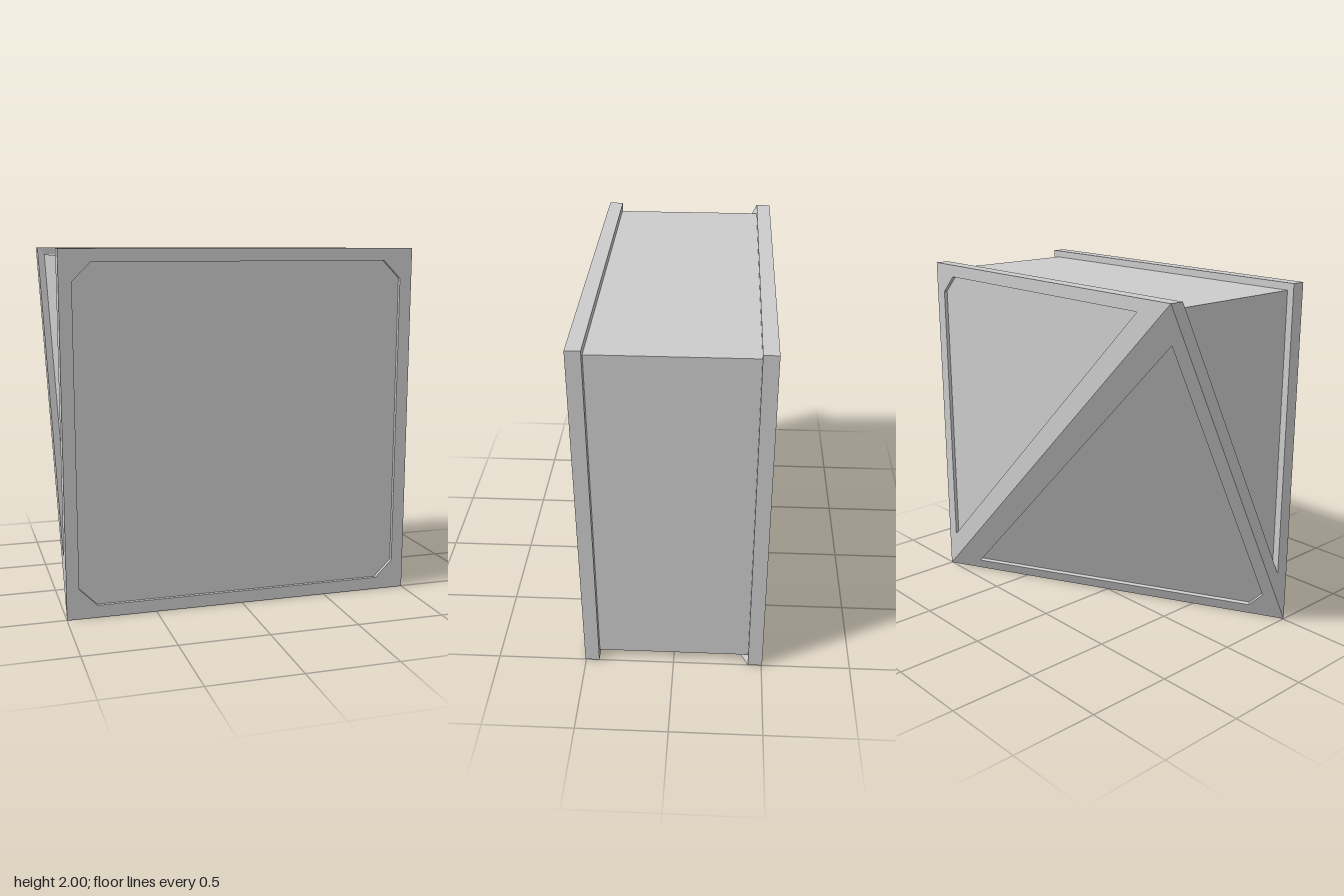
import * as THREE from 'three';
import { ConvexGeometry } from 'three/addons/geometries/ConvexGeometry.js';

const H = 0.505, W = 2 * H;      // half depth and depth
const T = 0.08, RECESS = 0.02;   // plate thickness and panel recess
const V = (x, y, z) => new THREE.Vector3(x, y, z);
// Position relative to the removed lower back corner: 1 on the cut plane, more inside
const cutValue = p => (p.x + 1) / 2 + p.y / 2 + (p.z + H) / W;

// Plate with a sunken panel. outer and back are matching loops; inner outlines the panel.
function plate(name, outer, back, inner, normal) {
  const pos = [];
  const tri = (a, b, c) => pos.push(...a.toArray(), ...b.toArray(), ...c.toArray());
  const quad = (a, b, c, d) => { tri(a, b, c); tri(a, c, d); };
  const rim = [...new Set(outer)];
  const u = rim[1].clone().sub(rim[0]).normalize();
  const v = normal.clone().cross(u);
  const flat = p => new THREE.Vector2(p.dot(u), p.dot(v));
  // All loops run counter-clockwise as seen from outside
  if (THREE.ShapeUtils.area(rim.map(flat)) < 0) { rim.reverse(); outer.reverse(); back.reverse(); }
  if (THREE.ShapeUtils.area(inner.map(flat)) < 0) inner.reverse();
  const floor = inner.map(p => p.clone().addScaledVector(normal, -RECESS));

  // Raised border
  const hole = [...inner].reverse(), all = [...rim, ...hole];
  for (const f of THREE.ShapeUtils.triangulateShape(rim.map(flat), [hole.map(flat)])) {
    const [a, b, c] = f.map(i => all[i]);
    const facing = b.clone().sub(a).cross(c.clone().sub(a)).dot(normal);
    if (facing > 0) tri(a, b, c); else tri(a, c, b);
  }
  // Panel walls and floor
  inner.forEach((p, i) => {
    const j = (i + 1) % inner.length;
    quad(p, inner[j], floor[j], floor[i]);
    if (i > 0 && j > 0) tri(floor[0], floor[i], floor[j]);
  });
  // Outer edges and rear cap
  outer.forEach((p, i) => {
    const j = (i + 1) % outer.length;
    if (p !== outer[j]) tri(p, back[j], outer[j]);
    tri(p, back[i], back[j]);
    if (i > 0 && j > 0) tri(back[0], back[j], back[i]);
  });
  const geo = new THREE.BufferGeometry();
  geo.setAttribute('position', new THREE.Float32BufferAttribute(pos, 3));
  geo.computeVertexNormals();
  return mesh(name, geo);
}

function mesh(name, geo) {
  const m = new THREE.Mesh(geo, new THREE.MeshStandardMaterial({ color: 0xcccccc, flatShading: true }));
  m.name = name;
  return m;
}

// Inset box, clipped parallel to the cut plane
function coreGeometry() {
  const limit = 1.04, pts = [], corners = [];
  for (const x of [-0.96, 0.96]) for (const y of [0.04, 1.96]) for (const z of [-0.45, 0.45]) corners.push(V(x, y, z));
  corners.forEach((a, i) => {
    if (cutValue(a) >= limit) pts.push(a);
    for (const bit of [1, 2, 4]) {
      if (i & bit) continue;
      const b = corners[i | bit], ca = cutValue(a), cb = cutValue(b);
      if ((ca < limit) !== (cb < limit)) pts.push(a.clone().lerp(b, (limit - ca) / (cb - ca)));
    }
  });
  return new ConvexGeometry(pts);
}

export function createModel() {
  const group = new THREE.Group();
  const A = V(1, 0, -H), B = V(-1, 2, -H), C = V(-1, 0, H);

  // Front plate, its lower right corner bevelled by the cut
  const k = 2 * T / W, zf = H - T;
  group.add(plate('frontPlate',
    [C, C, V(1, 0, H), V(1, 2, H), V(-1, 2, H)],
    [V(-1, k, zf), V(-1 + k, 0, zf), V(1, 0, zf), V(1, 2, zf), V(-1, 2, zf)],
    [[-0.83, 0.07], [0.83, 0.07], [0.93, 0.17], [0.93, 1.83], [0.83, 1.93], [-0.83, 1.93], [-0.93, 1.83], [-0.93, 0.17]]
      .map(([x, y]) => V(x, y, H)),
    V(0, 0, 1)));

  // Triangular back plate
  group.add(plate('backPlate',
    [A, A, V(1, 2, -H), B, B],
    [V(1 - k, 0, -zf), V(1, 0, -zf), V(1, 2, -zf), V(-1, 2, -zf), V(-1, 2 - k, -zf)],
    [[0.93, 0.17], [0.93, 1.83], [0.83, 1.93], [-0.83, 1.93]].map(([x, y]) => V(x, y, -H)),
    V(0, 0, -1)));

  // Sloping plate over the cut corner; its panel is given as weights of A, B and C
  const d = 0.08, e = 2 * d;
  const mix = ([a, b, c]) => V(0, 0, 0).addScaledVector(A, a).addScaledVector(B, b).addScaledVector(C, c);
  group.add(plate('cutPlate',
    [A, A, B, B, C, C],
    [V(1, 0, -H + d * W), V(1, e, -H), V(-1 + e, 2, -H), V(-1, 2, -H + d * W), V(-1, e, H), V(-1 + e, 0, H)],
    [[0.927, 0.033, 0.04], [0.933, 0.06, 0.007], [0.06, 0.933, 0.007], [0.033, 0.927, 0.04],
      [0.035, 0.085, 0.88], [0.085, 0.035, 0.88]].map(mix),
    V(-1, -1, -2 / W).normalize()));

  // Recessed body between the plates
  group.add(mesh('body', coreGeometry()));
  return group;
}
